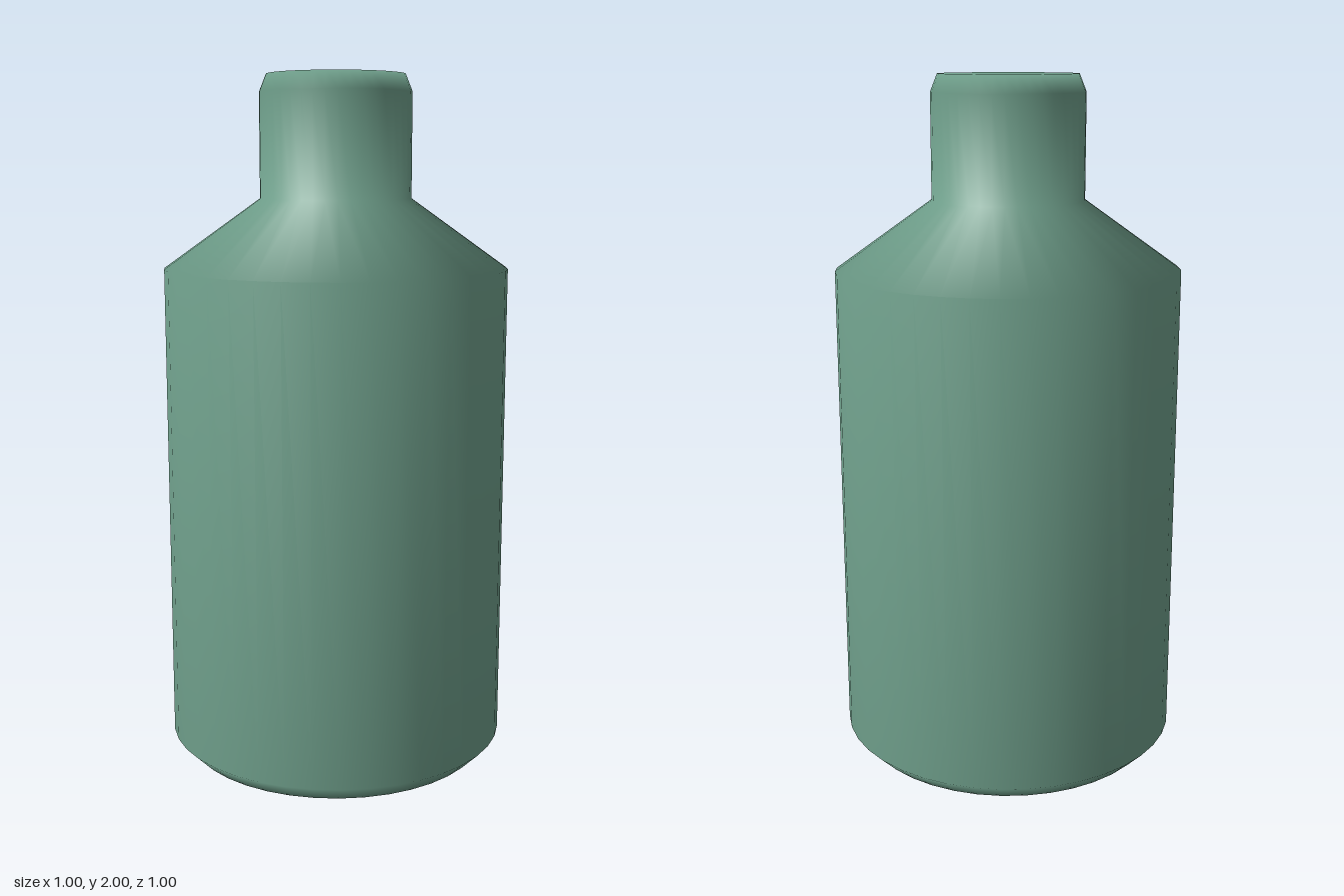
import * as THREE from 'three';

export function createModel() {
  const group = new THREE.Group();
  group.name = 'bottle';

  const greenGlass = new THREE.MeshStandardMaterial({ color: 0x6f9f8b });
  greenGlass.name = 'sage green';

  // Outline from the base centre, up the side, to the closed top
  const profile = [
    [0, 0], [0.45, 0], [0.5, 0.05],      // chamfered base
    [0.5, 1.45], [0.22, 1.65],           // body and shoulder
    [0.22, 1.95], [0.2, 2], [0, 2],      // neck and bevelled top
  ].map(([r, y]) => new THREE.Vector2(r, y));

  // Smooth normals run over the whole turned body
  const body = new THREE.Mesh(new THREE.LatheGeometry(profile, 40), greenGlass);
  body.name = 'bottleBody';
  group.add(body);

  return group;
}
